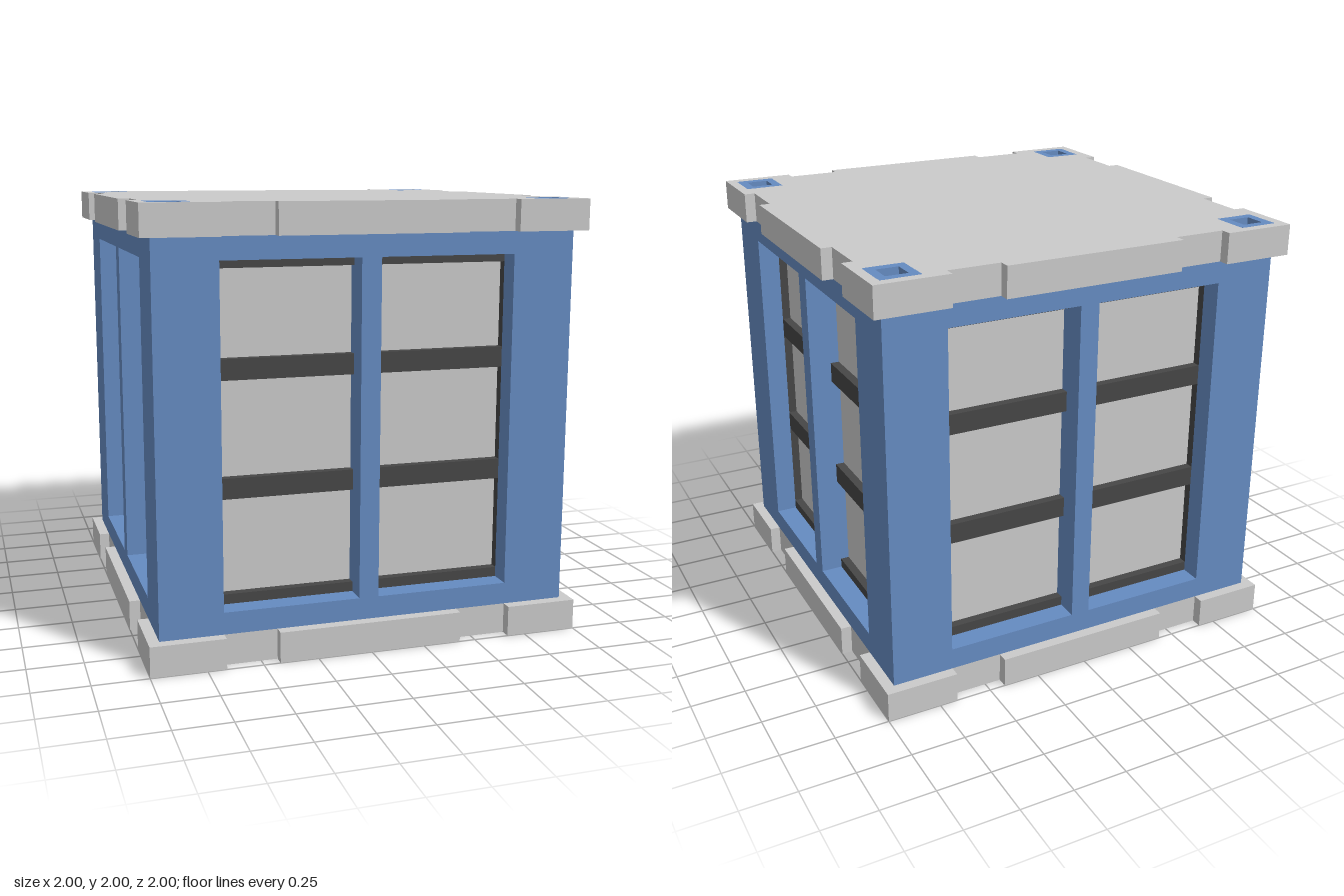
import * as THREE from 'three';

const shell = new THREE.MeshStandardMaterial({ name: 'light grey', color: 0xcacaca });
const blue = new THREE.MeshStandardMaterial({ name: 'blue', color: 0x658bc1 });
const dark = new THREE.MeshStandardMaterial({ name: 'dark grey', color: 0x464646 });

function add(parent, name, geometry, material, x = 0, y = 0, z = 0) {
  const mesh = new THREE.Mesh(geometry, material);
  mesh.name = name;
  mesh.position.set(x, y, z);
  parent.add(mesh);
  return mesh;
}

function rect(Type, x0, y0, x1, y1) {
  return new Type([[x0, y0], [x1, y0], [x1, y1], [x0, y1]].map(p => new THREE.Vector2(...p)));
}

function extrude(shape, depth) {
  return new THREE.ExtrudeGeometry(shape, { depth, bevelEnabled: false, curveSegments: 3 });
}

// Square plate with two shallow notches in every edge
function plateShape() {
  const edge = [[-1, -1], [-0.665, -1], [-0.665, -0.95], [-0.425, -0.95], [-0.425, -1],
    [0.425, -1], [0.425, -0.95], [0.665, -0.95], [0.665, -1]];
  const points = [];
  for (let i = 0; i < 4; i++) {
    for (const [x, y] of edge) {
      points.push(new THREE.Vector2(x, y).rotateAround(new THREE.Vector2(), i * Math.PI / 2));
    }
  }
  return new THREE.Shape(points);
}

// Softly rounded square ring lining a corner socket
function socketShape(h, r) {
  const s = new THREE.Shape();
  s.moveTo(-h + r, -h);
  s.lineTo(h - r, -h);
  s.quadraticCurveTo(h, -h, h, -h + r);
  s.lineTo(h, h - r);
  s.quadraticCurveTo(h, h, h - r, h);
  s.lineTo(-h + r, h);
  s.quadraticCurveTo(-h, h, -h, h - r);
  s.lineTo(-h, -h + r);
  s.quadraticCurveTo(-h, -h, -h + r, -h);
  s.holes.push(rect(THREE.Path, -0.05, -0.05, 0.05, 0.05));
  return s;
}

// One wall facing +z; its sides interlock with the neighbouring walls
function makeWall() {
  const wall = new THREE.Group();
  const frame = rect(THREE.Shape, -0.95, 0.14, 0.85, 1.86);
  frame.holes.push(rect(THREE.Path, -0.665, 0.24, -0.045, 1.76));
  frame.holes.push(rect(THREE.Path, 0.045, 0.24, 0.665, 1.76));
  add(wall, 'windowFrame', extrude(frame, 0.1), blue, 0, 0, 0.85);
  add(wall, 'mullion', new THREE.BoxGeometry(0.09, 1.52, 0.04), blue, 0, 1, 0.83);

  const lining = rect(THREE.Shape, -0.85, 0.15, 0.81, 1.85);
  lining.holes.push(rect(THREE.Path, -0.665, 0.285, 0.665, 1.72));
  add(wall, 'innerFrame', extrude(lining, 0.04), dark, 0, 0, 0.81);

  for (const side of [-1, 1]) {
    for (const y of [0.763, 1.287]) {
      add(wall, 'crossBar', new THREE.BoxGeometry(0.62, 0.093, 0.04), dark, side * 0.355, y, 0.83);
    }
  }
  return wall;
}

export function createModel() {
  const model = new THREE.Group();
  model.name = 'storageCrate';

  // Bottom and top plates
  const bottom = extrude(plateShape(), 0.14).rotateX(-Math.PI / 2);
  add(model, 'bottomPlate', bottom, shell);
  const topShape = plateShape();
  const corners = [[-1, -1], [1, -1], [1, 1], [-1, 1]].map(([x, z]) => [x * 0.862, z * 0.862]);
  for (const [x, z] of corners) {
    topShape.holes.push(rect(THREE.Path, x - 0.09, z - 0.09, x + 0.09, z + 0.09));
  }
  add(model, 'topPlate', extrude(topShape, 0.14).rotateX(-Math.PI / 2), shell, 0, 1.86, 0);

  // Corner sockets with dark floors
  for (const [x, z] of corners) {
    add(model, 'cornerSocket', extrude(socketShape(0.092, 0.012), 0.139).rotateX(-Math.PI / 2),
      blue, x, 1.861, z);
    add(model, 'socketFloor', new THREE.BoxGeometry(0.1, 0.06, 0.1), dark, x, 1.91, z);
  }

  // Inner box whose sides show through the windows
  add(model, 'innerBox', new THREE.BoxGeometry(1.62, 1.72, 1.62), shell, 0, 1, 0);

  // Four matching walls
  for (let i = 0; i < 4; i++) {
    const wall = makeWall();
    wall.name = ['frontWall', 'leftWall', 'backWall', 'rightWall'][i];
    wall.rotation.y = i * Math.PI / 2;
    model.add(wall);
  }
  return model;
}
